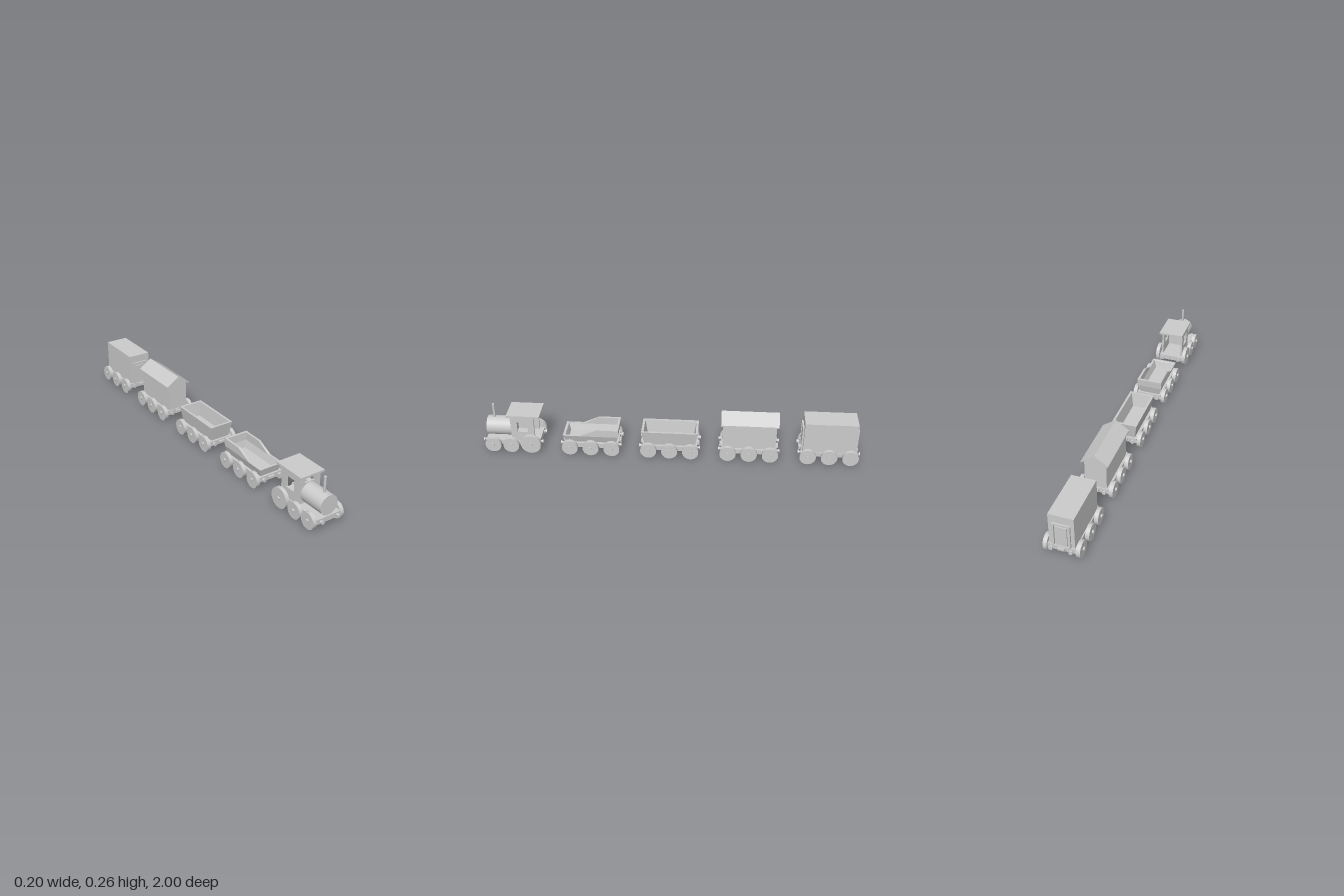
import * as THREE from 'three';

const grey = new THREE.MeshStandardMaterial({ color: 0xcccccc });

function add(parent, name, geometry, x = 0, y = 0, z = 0) {
  const mesh = new THREE.Mesh(geometry, grey);
  mesh.name = name;
  mesh.position.set(x, y, z);
  parent.add(mesh);
  return mesh;
}
const box = (w, h, d) => new THREE.BoxGeometry(w, h, d);
const rodX = (r, l, n = 32) => new THREE.CylinderGeometry(r, r, l, n).rotateZ(Math.PI / 2);
const rodZ = (r, l, n = 24) => new THREE.CylinderGeometry(r, r, l, n).rotateX(Math.PI / 2);

// Outline extruded along z, centred on its depth
function extrude(points, depth, hole) {
  const toShape = pts => pts.map(p => new THREE.Vector2(...p));
  const shape = new THREE.Shape(toShape(points));
  if (hole) shape.holes.push(new THREE.Path(toShape(hole)));
  return new THREE.ExtrudeGeometry(shape, { depth, bevelEnabled: false }).translate(0, 0, -depth / 2);
}
const rect = (x0, y0, x1, y1) => [[x0, y0], [x1, y0], [x1, y1], [x0, y1]];

// Base frame with three axles and buffers, local z centred on the car
function underframe(name, z, radii, wheelZ, hooks) {
  const car = new THREE.Group();
  car.name = name;
  car.position.z = z;
  add(car, 'frame', box(0.136, 0.026, 0.29), 0, 0.049, 0);
  wheelZ.forEach((wz, i) => {
    const r = radii[i];
    add(car, 'axle', rodX(0.009, 0.196, 16), 0, Math.max(r, 0.046), wz);
    for (const s of [-1, 1]) add(car, 'wheel', rodX(r, 0.02), s * 0.08, r, wz);
  });
  for (const e of [-1, 1]) {
    for (const s of [-1, 1]) {
      add(car, 'bufferStem', rodZ(0.006, 0.014, 16), s * 0.048, 0.05, e * 0.15);
      add(car, 'bufferHead', rodZ(0.01, 0.007), s * 0.048, 0.05, e * 0.1585);
    }
    if (hooks) add(car, 'coupling', box(0.034, 0.012, 0.012), 0, 0.05, e * 0.15);
  }
  return car;
}
const wagon = (name, z) => underframe(name, z, [0.0425, 0.0425, 0.0425], [0.111, 0, -0.111], true);

// Open tub: rings run up the outside, over the rim and down the inside
function tub(levels) {
  const stations = [-1, -0.21, 0.365, 1];
  const rings = levels.map(([hx, hz, front, back]) => {
    const side = stations.map((s, i) => [hx, i < 2 ? back : front, s * hz]);
    return [...side, ...side.map(([x, y, z]) => [-x, y, z]).reverse()];
  });
  const pos = [];
  const tri = (...pts) => pts.forEach(p => pos.push(...p));
  const n = rings[0].length;
  for (let k = 0; k < rings.length - 1; k++) {
    for (let i = 0; i < n; i++) {
      const j = (i + 1) % n, lo = rings[k], hi = rings[k + 1];
      tri(lo[i], hi[i], lo[j]);
      tri(hi[i], hi[j], lo[j]);
    }
  }
  // underside and floor
  const b = rings[0], f = rings[rings.length - 1];
  tri(b[0], b[3], b[4]); tri(b[0], b[4], b[7]);
  tri(f[0], f[4], f[3]); tri(f[0], f[7], f[4]);
  const g = new THREE.BufferGeometry();
  g.setAttribute('position', new THREE.Float32BufferAttribute(pos, 3));
  g.computeVertexNormals();
  return g;
}

function locomotive() {
  const car = underframe('locomotive', 0.835, [0.0425, 0.0425, 0.0535], [0.103, 0.007, -0.1], false);
  add(car, 'boiler', rodZ(0.051, 0.137, 40), 0, 0.114, 0.0715);
  add(car, 'chimney', new THREE.CylinderGeometry(0.0065, 0.0065, 0.09, 16), 0, 0.2, 0.103);

  // cab: windowed front and sides, open at the rear
  add(car, 'cabFront', extrude(rect(-0.062, 0.06, 0.062, 0.206), 0.01, rect(-0.028, 0.168, 0.028, 0.19)), 0, 0, 0);
  for (const s of [-1, 1]) {
    const wall = add(car, 'cabSide', extrude(rect(-0.12, 0.06, 0.005, 0.206), 0.01, rect(-0.085, 0.115, -0.03, 0.175)), s * 0.057);
    wall.rotation.y = -Math.PI / 2;
  }
  add(car, 'cabRoof', box(0.138, 0.011, 0.176), 0, 0.2105, -0.065);
  return car;
}

function tender() {
  const car = wagon('tender', 0.416);
  add(car, 'slopedTub', tub([
    [0.053, 0.133, 0.06, 0.06], [0.068, 0.145, 0.105, 0.105], [0.068, 0.148, 0.106, 0.146],
    [0.056, 0.136, 0.106, 0.146], [0.056, 0.134, 0.104, 0.105], [0.044, 0.124, 0.068, 0.068]]));
  return car;
}

function openWagon() {
  const car = wagon('openWagon', -0.002);
  add(car, 'tub', tub([
    [0.053, 0.133, 0.06, 0.06], [0.067, 0.149, 0.145, 0.145],
    [0.055, 0.137, 0.145, 0.145], [0.044, 0.124, 0.068, 0.068]]));
  return car;
}

function gabledWagon() {
  const car = wagon('gabledWagon', -0.42);
  const body = [[-0.056, 0.06], [0.056, 0.06], [0.056, 0.208], [0, 0.248], [-0.056, 0.208]];
  add(car, 'body', extrude(body, 0.278));
  const roof = [[-0.069, 0.201], [0, 0.248], [0.069, 0.201], [0.069, 0.209], [0, 0.257], [-0.069, 0.209]];
  add(car, 'gableRoof', extrude(roof, 0.3));
  return car;
}

function boxWagon() {
  const car = wagon('boxWagon', -0.838);
  add(car, 'body', box(0.124, 0.172, 0.274), 0, 0.146, 0);
  // framed door at each end
  for (const e of [-1, 1]) {
    add(car, 'doorFrame', extrude(rect(-0.044, 0.06, 0.044, 0.19), 0.01, rect(-0.034, 0.062, 0.034, 0.18)), 0, 0, e * 0.141);
    add(car, 'doorPanel', box(0.054, 0.108, 0.008), 0, 0.117, e * 0.139);
  }
  return car;
}

export function createModel() {
  const train = new THREE.Group();
  train.name = 'toyTrain';
  train.add(locomotive(), tender(), openWagon(), gabledWagon(), boxWagon());
  return train;
}
